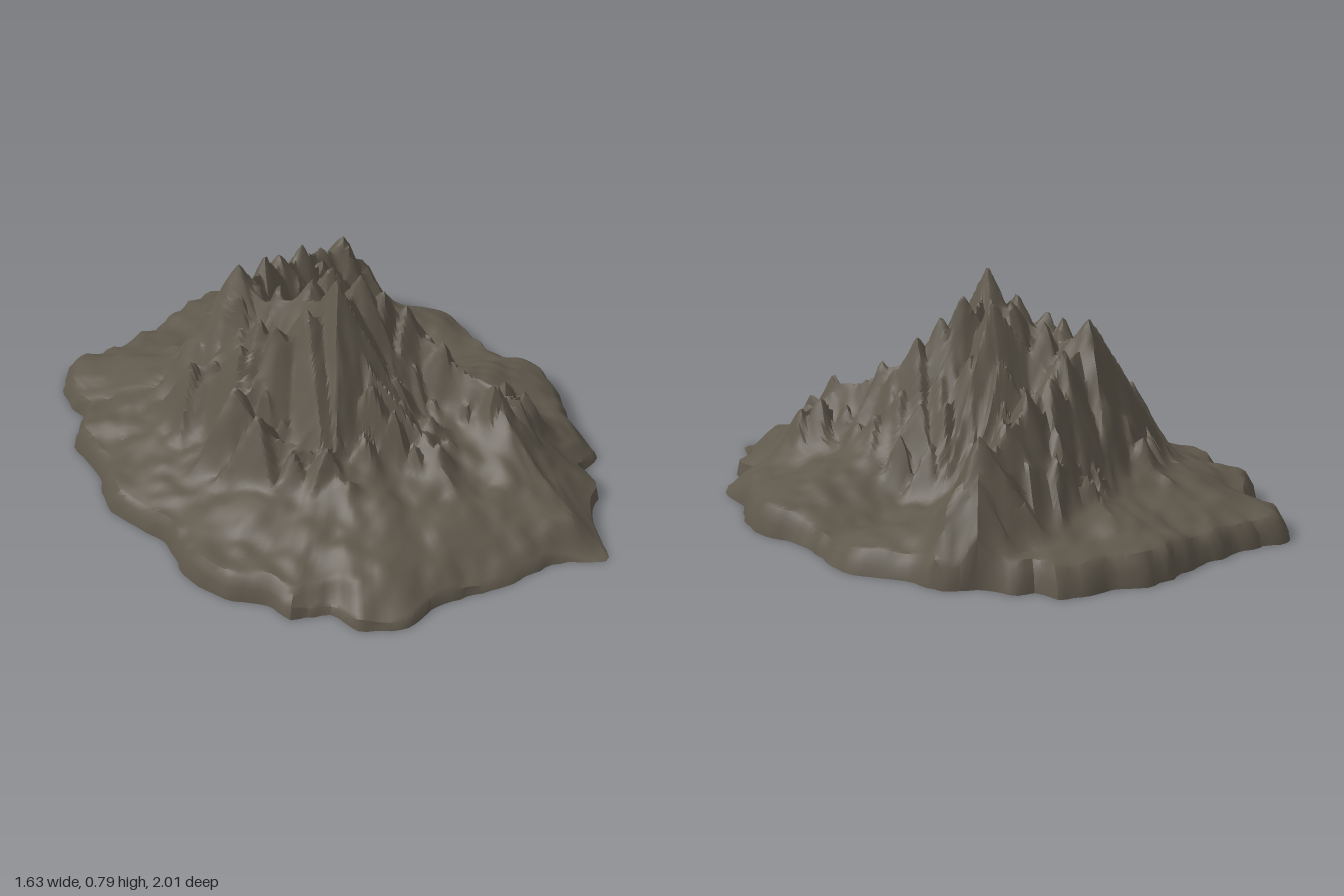
import * as THREE from 'three';
import { toCreasedNormals } from 'three/addons/utils/BufferGeometryUtils.js';

// plan outline of the foot of the mountain (x, z)
const OUTLINE = [
  [-0.47, -0.98], [-0.37, -0.96], [-0.1, -0.96], [0.15, -0.99], [0.27, -0.94], [0.43, -0.9], [0.46, -0.81],
  [0.53, -0.78], [0.56, -0.7], [0.67, -0.62], [0.7, -0.5], [0.8, -0.32], [0.81, -0.23], [0.77, 0],
  [0.81, 0.15], [0.79, 0.3], [0.7, 0.45], [0.67, 0.6], [0.55, 0.65], [0.52, 0.75], [0.4, 0.86],
  [0.32, 1.0], [0.15, 0.91], [-0.08, 0.88], [-0.25, 0.82], [-0.42, 0.83], [-0.54, 0.74], [-0.57, 0.62],
  [-0.68, 0.57], [-0.69, 0.46], [-0.78, 0.35], [-0.81, 0.2], [-0.77, 0], [-0.81, -0.23], [-0.73, -0.45],
  [-0.7, -0.62], [-0.6, -0.7], [-0.59, -0.83]
];

// crest lines running out from the summit (x, z, height) and how steeply their flanks fall
const RIDGES = [
  // curved back ridge around the head of the valley
  { flank: 1.8, crest: [[-0.07, 0.07, 0.74], [-0.09, -0.1, 0.67], [-0.14, -0.22, 0.62], [-0.16, -0.34, 0.65],
    [0.0, -0.41, 0.57], [0.2, -0.48, 0.52], [0.4, -0.54, 0.43], [0.52, -0.56, 0.34]] },
  // south-east ridge
  { flank: 1.75, crest: [[-0.07, 0.07, 0.74], [0.07, 0.0, 0.68], [0.19, 0.08, 0.56], [0.26, 0.24, 0.46],
    [0.32, 0.42, 0.4], [0.46, 0.46, 0.29]] },
  { flank: 1.75, crest: [[-0.09, -0.1, 0.67], [0.04, -0.1, 0.68]] },
  // west shoulders
  { flank: 2.5, crest: [[-0.07, 0.07, 0.74], [-0.24, 0.0, 0.61], [-0.41, -0.04, 0.43], [-0.39, 0.13, 0.37],
    [-0.28, 0.28, 0.33]] },
  { flank: 2.1, crest: [[-0.24, 0.0, 0.61], [-0.27, -0.18, 0.56], [-0.4, -0.3, 0.39]] },
  // front buttress
  { flank: 1.8, crest: [[-0.07, 0.07, 0.74], [-0.05, 0.22, 0.54], [0.03, 0.4, 0.34]] },
  // gentle fans below the cliffs
  { flank: 1.0, crest: [[0.32, 0.42, 0.38], [0.29, 0.55, 0.33], [0.3, 0.75, 0.17], [0.32, 0.92, 0.04]] },
  { flank: 0.9, crest: [[0.03, 0.4, 0.34], [0.0, 0.66, 0.17]] },
  { flank: 0.9, crest: [[-0.28, 0.28, 0.33], [-0.34, 0.56, 0.15]] },
  { flank: 0.9, crest: [[-0.18, -0.42, 0.45], [-0.22, -0.58, 0.27], [-0.25, -0.78, 0.14]] },
  { flank: 0.9, crest: [[0.1, -0.5, 0.45], [0.1, -0.62, 0.27], [0.1, -0.8, 0.14]] }
];

// pinnacles on the skyline (x, z, height)
const PINNACLES = [
  [-0.07, 0.07, 0.79], [0.04, -0.09, 0.73], [0.08, 0.02, 0.73], [-0.1, -0.2, 0.66], [-0.16, -0.35, 0.695],
  [-0.16, 0.02, 0.7], [-0.25, -0.04, 0.65], [-0.33, -0.12, 0.56], [-0.42, -0.05, 0.47], [0.14, 0.06, 0.66],
  [0.21, 0.1, 0.59], [0.34, -0.51, 0.46], [0.46, -0.53, 0.46], [0.31, 0.45, 0.42], [-0.3, 0.29, 0.36],
  [0.0, -0.41, 0.61], [0.1, -0.46, 0.57], [0.22, -0.48, 0.54], [-0.42, 0.08, 0.42], [-0.41, -0.3, 0.42]
];

let seed = 7;
const random = () => (seed = (seed * 16807) % 2147483647) / 2147483647;

// soft lattice noise in the range -1..1
const hash = (i, j) => {
  const s = Math.sin(i * 127.1 + j * 311.7) * 43758.5453;
  return (s - Math.floor(s)) * 2 - 1;
};
function noise(x, z) {
  const { lerp, smoothstep } = THREE.MathUtils;
  const i = Math.floor(x), j = Math.floor(z);
  const u = smoothstep(x - i, 0, 1), v = smoothstep(z - j, 0, 1);
  return lerp(lerp(hash(i, j), hash(i + 1, j), u), lerp(hash(i, j + 1), hash(i + 1, j + 1), u), v);
}

// rock body: falls away evenly on both sides of every crest line
function massif(x, z) {
  let best = 0;
  for (const { flank, crest } of RIDGES) {
    for (let i = 0; i + 1 < crest.length; i++) {
      const [ax, az, ah] = crest[i], [bx, bz, bh] = crest[i + 1];
      const dx = bx - ax, dz = bz - az;
      const k = THREE.MathUtils.clamp(((x - ax) * dx + (z - az) * dz) / (dx * dx + dz * dz), 0, 1);
      const d = Math.hypot(x - ax - k * dx, z - az - k * dz);
      best = Math.max(best, ah + k * (bh - ah) - flank * d);
    }
  }
  return best;
}

// chunky pyramid crags, each turned to face down the slope
function makeCrags() {
  const crags = [];
  const add = (x, z, top) => {
    const e = 0.04;
    const turn = Math.atan2(massif(x, z - e) - massif(x, z + e), massif(x - e, z) - massif(x + e, z));
    const a = turn + (random() - 0.5) * 0.7;
    crags.push({ x, z, top, gx: Math.cos(a), gz: Math.sin(a), side: 1.7 + random() * 0.9, face: 1.8 + random() * 1.4 });
  };
  PINNACLES.forEach(p => add(...p));
  for (let i = 0; i < 1500; i++) {
    const x = -0.55 + random() * 1.15, z = -0.65 + random() * 1.15, lift = 0.01 + random() * 0.05;
    const m = massif(x, z);
    if (m > 0.24 && crags.every(c => Math.hypot(c.x - x, c.z - z) > 0.07)) add(x, z, Math.min(m + lift, 0.72));
  }
  return crags;
}

// ground height; t runs from 0 at the middle to 1 at the rim
function heightAt(x, z, t, crags) {
  const { smoothstep, lerp } = THREE.MathUtils;
  const tip = 1 - smoothstep(z, 0.84, 1);
  const soft = smoothstep(z, 0.25, 0.7);
  const valley = 0.13 * Math.exp(-((x - 0.42) ** 2 / 0.07 + (z + 0.13) ** 2 / 0.03));
  const bumps = 0.014 * noise(x * 9, z * 9) + 0.009 * noise(x * 21, z * 21);
  const rim = 0.055 * Math.min(1, 0.35 + (1 - t) * lerp(22, 5, soft));
  const skirt = (lerp(0.025, 0.015, soft) + rim + 0.29 * (1 - t) - valley + bumps) * (0.1 + 0.9 * tip);
  let rock = massif(x, z) - 0.03;
  for (const c of crags) {
    const dx = x - c.x, dz = z - c.z;
    const along = dx * c.gx + dz * c.gz, across = Math.abs(dz * c.gx - dx * c.gz);
    // flat-sided pyramid with a slightly blunt top
    const drop = Math.max(c.side * across + 0.5 * Math.abs(along), along > 0 ? c.face * along : -1.6 * along);
    rock = Math.max(rock, c.top - Math.max(drop, 0.012));
  }
  rock += 0.008 * noise(x * 30, z * 30) + 0.01 * noise(x * 16 + 5, z * 8);
  // soft join between rock and skirt
  const k = 0.06, m = Math.max(k - Math.abs(rock - skirt), 0) / k;
  return Math.max(rock, skirt) + m * m * k * 0.25;
}

export function createModel() {
  const group = new THREE.Group();
  const stone = new THREE.MeshStandardMaterial({ color: 0x5f584c });
  stone.name = 'dark stone';

  // rim with a ragged edge
  const SEGMENTS = 220, RINGS = 64;
  const curve = new THREE.CatmullRomCurve3(OUTLINE.map(([x, z]) => new THREE.Vector3(x, 0, z)), true);
  const rim = curve.getSpacedPoints(SEGMENTS).slice(0, SEGMENTS);
  rim.forEach(p => p.multiplyScalar(1 + 0.014 * noise(p.x * 20, p.z * 20)));
  const crags = makeCrags();

  // concentric rings from the middle to the rim, then one ring on the ground
  const positions = [0, heightAt(0, 0, 0, crags), 0], index = [];
  for (let r = 1; r <= RINGS + 1; r++) {
    const t = Math.min(r / RINGS, 1);
    for (const p of rim) {
      const s = r > RINGS ? 1 : t * 0.988;
      const x = p.x * s, z = p.z * s;
      positions.push(x, r > RINGS ? 0 : heightAt(x, z, t, crags), z);
    }
  }
  const at = (r, i) => 1 + (r - 1) * SEGMENTS + (i % SEGMENTS);
  for (let i = 0; i < SEGMENTS; i++) {
    index.push(0, at(1, i + 1), at(1, i));
    for (let r = 1; r <= RINGS; r++) {
      const a = at(r, i), b = at(r, i + 1), c = at(r + 1, i), d = at(r + 1, i + 1);
      index.push(a, b, d, a, d, c);
    }
  }
  const land = new THREE.BufferGeometry();
  land.setAttribute('position', new THREE.Float32BufferAttribute(positions, 3));
  land.setIndex(index);
  const mountain = new THREE.Mesh(toCreasedNormals(land, 0.7), stone);
  mountain.name = 'mountain';
  group.add(mountain);

  // flat underside
  const base = new THREE.ShapeGeometry(new THREE.Shape(rim.map(p => new THREE.Vector2(p.x, p.z))));
  base.rotateX(Math.PI / 2);
  const underside = new THREE.Mesh(base, stone);
  underside.name = 'underside';
  group.add(underside);

  return group;
}
